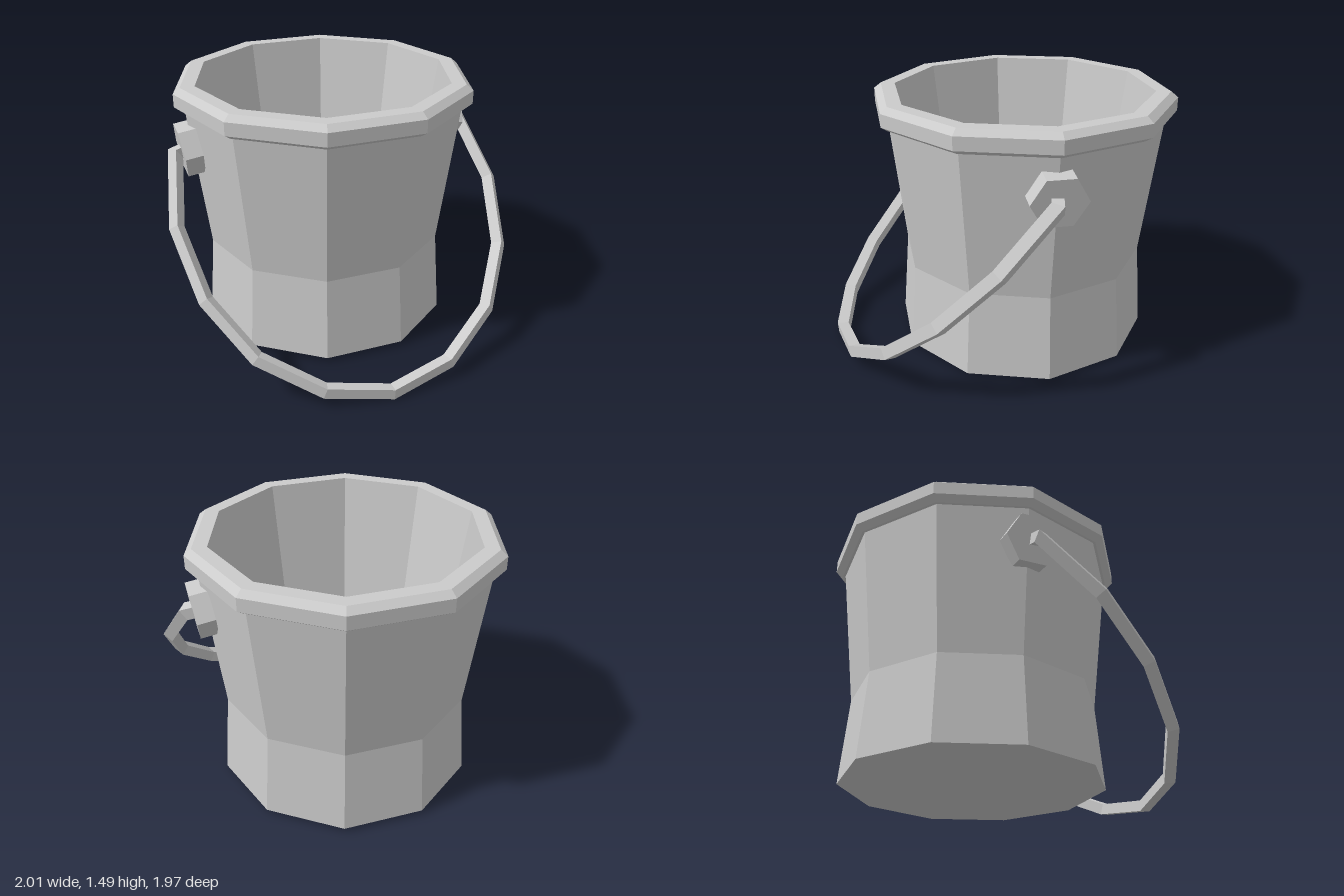
import * as THREE from 'three';

const material = new THREE.MeshStandardMaterial({ color: 0xcccccc, flatShading: true });
const CENTRE_Z = -0.165;

function addMesh(parent, name, geometry) {
  const mesh = new THREE.Mesh(geometry, material);
  mesh.name = name;
  parent.add(mesh);
  return mesh;
}

function decagonLathe(profile) {
  const points = profile.map(([r, y]) => new THREE.Vector2(r, y));
  return new THREE.LatheGeometry(points, 10, Math.PI / 2);
}

// Diamond-section bar swept along a path lying in a plane inclined 45 degrees
function handleGeometry(path, radial, thick) {
  const S = Math.SQRT1_2;
  const normal = new THREE.Vector3(0, -S, -S);
  const points = path.map(([x, y]) => new THREE.Vector2(x, (0.985 - y) / S));
  const place = (p) => new THREE.Vector3(p.x, 0.985 - p.y * S, p.y * S);
  const positions = [];
  points.forEach((p, i) => {
    const before = p.clone().sub(points[Math.max(i - 1, 0)]).normalize();
    const after = points[Math.min(i + 1, points.length - 1)].clone().sub(p).normalize();
    const t = before.clone().add(after).normalize();
    const miter = 1 / Math.max(t.dot(i ? before : after), 0.5);
    const out = new THREE.Vector3(-t.y, -t.x * S, t.x * S).multiplyScalar(radial * miter);
    const centre = place(p);
    const side = normal.clone().multiplyScalar(thick);
    for (const offset of [out, side, out.clone().negate(), side.clone().negate()]) {
      positions.push(...centre.clone().add(offset).toArray());
    }
  });
  const index = [];
  for (let i = 0; i < points.length - 1; i++) {
    for (let j = 0; j < 4; j++) {
      const a = i * 4 + j, b = i * 4 + (j + 1) % 4;
      index.push(a, b, b + 4, a, b + 4, a + 4);
    }
  }
  // End caps
  const e = (points.length - 1) * 4;
  index.push(0, 2, 1, 0, 3, 2, e, e + 1, e + 2, e, e + 2, e + 3);
  const geometry = new THREE.BufferGeometry();
  geometry.setAttribute('position', new THREE.Float32BufferAttribute(positions, 3));
  geometry.setIndex(index);
  const flat = geometry.toNonIndexed();
  flat.computeVertexNormals();
  return flat;
}

export function createModel() {
  const model = new THREE.Group();
  model.name = 'bucket';

  // Outer wall with its waist and flat base
  const wall = addMesh(model, 'outerWall', decagonLathe([
    [0, 0.025], [0.75, 0.025], [0.71, 0.52], [0.81, 1.36],
  ]));
  // Chamfered rim
  const rim = addMesh(model, 'rim', decagonLathe([
    [0.8, 1.36], [0.825, 1.36], [0.868, 1.388], [0.868, 1.463], [0.828, 1.495], [0.745, 1.495],
  ]));
  // Inner wall and floor
  const inside = addMesh(model, 'innerWall', decagonLathe([
    [0.745, 1.495], [0.6, 0.52], [0.64, 0.1], [0, 0.1],
  ]));
  for (const mesh of [wall, rim, inside]) mesh.position.z = CENTRE_Z;

  // Hexagonal handle mounts, tilted with the wall
  for (const [name, side] of [['leftMount', 1], ['rightMount', -1]]) {
    const mount = addMesh(model, name, new THREE.CylinderGeometry(0.155, 0.155, 0.1, 6));
    mount.rotation.z = -side * THREE.MathUtils.degToRad(98);
    mount.position.set(side * 0.803, 1.14, -0.16);
  }

  // Swinging handle: half the path, mirrored
  const half = [[0.82, 1.14], [0.887, 1.125], [0.96, 0.82], [0.885, 0.52], [0.685, 0.27], [0.365, 0.098]];
  const path = [...half.map(([x, y]) => [-x, y]), [0, 0.036], ...half.slice().reverse()];
  addMesh(model, 'handle', handleGeometry(path, 0.042, 0.05));

  return model;
}
